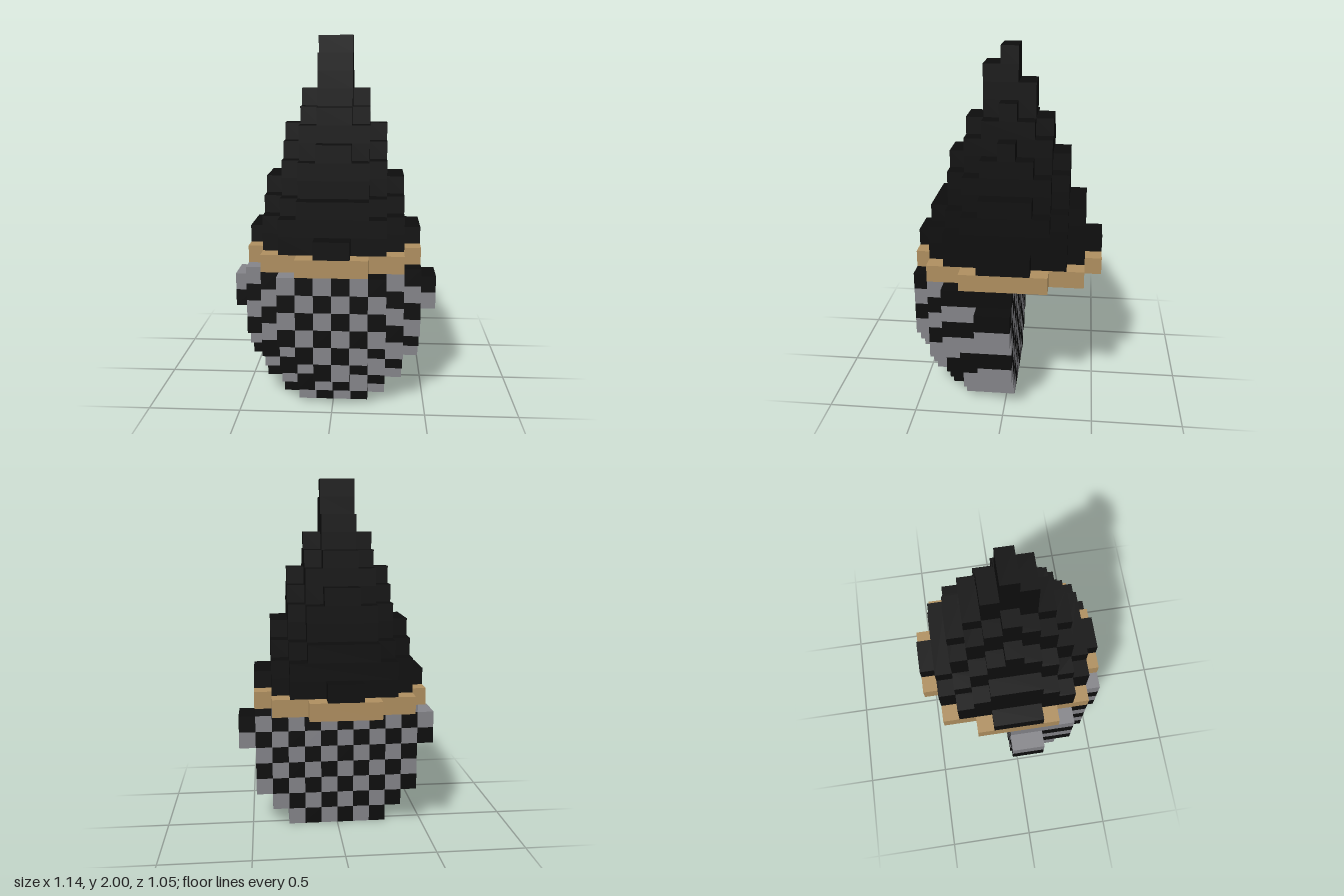
import * as THREE from 'three';
import { mergeGeometries } from 'three/addons/utils/BufferGeometryUtils.js';

const U = 2 / 21; // one block

// Half widths by distance in front of the middle row, one list per layer
const BEARD = [
  [3, 3, 3, 2],
  [4, 4, 4, 3, 2],
  [5, 5, 4, 4, 3, 1],
  [5, 5, 5, 4, 4, 2],
  [5, 5, 5, 5, 4, 3],
  [6, 6, 5, 5, 4, 3],
  [6, 6, 5, 5, 4, 3],
  [5, 5, 5, 5, 4, 3],
];
const BRIM = [5, 5, 5, 4, 4, 2];
const HAT = [
  [5, 5, 4, 4, 3, 1],
  [4, 4, 4, 4, 3],
  [4, 4, 4, 3, 2],
  [4, 4, 3, 2],
  [3, 3, 3, 2],
  [3, 3, 2, 1],
  [3, 2, 2],
  [2, 2, 1],
  [2, 1],
  [1, 1],
  [1, 1], // this layer only leans forward
  [1],
];

// One block-high slab with a stepped, left-right mirrored outline
function slab(front, back, row) {
  const widths = [...back.slice(1).reverse(), ...front];
  const start = -(back.length - 1) - 0.5;
  const right = [];
  widths.forEach((w, k) => {
    if (k === 0 || widths[k - 1] !== w) {
      if (k > 0) right.push([widths[k - 1], start + k]);
      right.push([w, start + k]);
    }
  });
  right.push([widths[widths.length - 1], start + widths.length]);
  const left = right.map(([x, z]) => [-x, z]).reverse();
  const points = [...right, ...left].map(([x, z]) => new THREE.Vector2(x * U, -z * U));
  const geo = new THREE.ExtrudeGeometry(new THREE.Shape(points), { depth: U, bevelEnabled: false });
  return geo.rotateX(-Math.PI / 2).translate(0, row * U, 0);
}

// A bar of blocks running forward from the flat back of the beard
function bar(column, row, length) {
  return new THREE.BoxGeometry(U, U, length * U)
    .translate((column + 0.5) * U, (row + 0.5) * U, (length / 2 - 0.5) * U);
}

export function createModel() {
  const black = new THREE.MeshStandardMaterial({ name: 'black', color: 0x0d0d0d });
  const grey = new THREE.MeshStandardMaterial({ name: 'grey', color: 0x85858a });
  const tan = new THREE.MeshStandardMaterial({ name: 'tan', color: 0xb09060 });

  const group = new THREE.Group();
  group.name = 'beardedHat';
  const add = (name, geometries, material) => {
    const mesh = new THREE.Mesh(mergeGeometries(geometries), material);
    mesh.name = name;
    group.add(mesh);
  };

  // Checkered beard: half a rounded bowl with a flat back
  const greyBars = [];
  const blackBars = [];
  BEARD.forEach((widths, row) => {
    for (let column = -widths[0]; column < widths[0]; column++) {
      const reach = column < 0 ? -column : column + 1;
      const length = widths.filter((w) => w >= reach).length;
      ((column + row) % 2 === 0 ? greyBars : blackBars).push(bar(column, row, length));
    }
  });
  add('beardGreyChecks', greyBars, grey);
  add('beardBlackChecks', blackBars, black);

  // Brim and pointed hat
  const brimRow = BEARD.length;
  add('hatBrim', [slab(BRIM, BRIM, brimRow)], tan);
  add('pointedHat', HAT.map((widths, i) =>
    slab(widths, i === HAT.length - 2 ? [1] : widths, brimRow + 1 + i)), black);

  return group;
}
